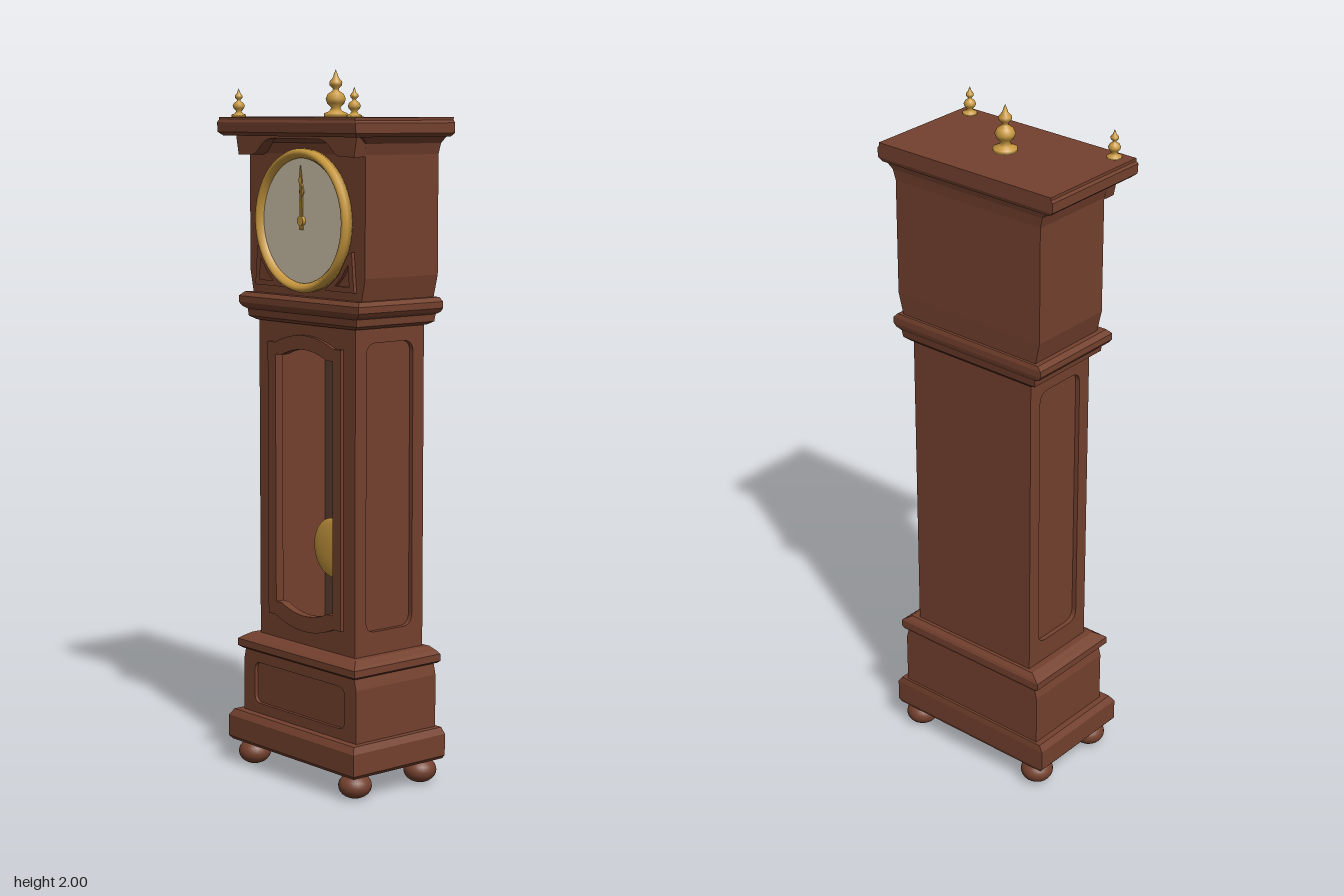
import * as THREE from 'three';

const mat = (name, color) => {
  const m = new THREE.MeshStandardMaterial({ color });
  m.name = name;
  return m;
};

export function createModel() {
  const wood = mat('mahogany', 0x74412e);
  const backing = mat('dark backing', 0x5c4031);
  const gold = mat('brass', 0xc9993f);
  const ivory = mat('ivory dial', 0xcfc3aa);
  const clock = new THREE.Group();
  clock.name = 'longcaseClock';

  const add = (name, geo, material, x = 0, y = 0, z = 0) => {
    const m = new THREE.Mesh(geo, material);
    m.name = name;
    m.position.set(x, y, z);
    clock.add(m);
    return m;
  };
  const box = (name, material, w, h, d, x, y, z) =>
    add(name, new THREE.BoxGeometry(w, h, d), material, x, y, z);

  // Rectangular sections stacked upward: [y, half width, front z, back z]
  const stack = (name, rows) => {
    const pos = [], index = [];
    rows.forEach(([y, w, f, b], r) => {
      pos.push(w, y, f, w, y, b, -w, y, b, -w, y, f);
      if (!r) return;
      for (let i = 0; i < 4; i++) {
        const a = (r - 1) * 4 + i, c = (r - 1) * 4 + (i + 1) % 4;
        index.push(a, c, c + 4, a, c + 4, a + 4);
      }
    });
    const t = (rows.length - 1) * 4;
    index.push(0, 2, 1, 0, 3, 2, t, t + 1, t + 2, t, t + 2, t + 3);
    let g = new THREE.BufferGeometry();
    g.setAttribute('position', new THREE.Float32BufferAttribute(pos, 3));
    g.setIndex(index);
    g = g.toNonIndexed();
    g.computeVertexNormals();
    return add(name, g, wood);
  };

  const polygon = (pts) => new THREE.Shape(pts.map(([x, y]) => new THREE.Vector2(x, y)));
  const roundRect = (x0, y0, x1, y1, r) => {
    const p = new THREE.Path();
    p.moveTo(x0 + r, y0).lineTo(x1 - r, y0).quadraticCurveTo(x1, y0, x1, y0 + r);
    p.lineTo(x1, y1 - r).quadraticCurveTo(x1, y1, x1 - r, y1);
    p.lineTo(x0 + r, y1).quadraticCurveTo(x0, y1, x0, y1 - r);
    p.lineTo(x0, y0 + r).quadraticCurveTo(x0, y0, x0 + r, y0);
    return p;
  };
  // Door outline with shallow arched top and bottom
  const arched = (P, w, y0, y1, rise) => {
    const p = new P(), s = w * 0.8;
    p.moveTo(-w, y0 + rise).lineTo(-s, y0 + rise).quadraticCurveTo(0, y0 - rise, s, y0 + rise);
    p.lineTo(w, y0 + rise).lineTo(w, y1 - rise).lineTo(s, y1 - rise);
    p.quadraticCurveTo(0, y1 + rise, -s, y1 - rise).lineTo(-w, y1 - rise).lineTo(-w, y0 + rise);
    return p;
  };
  const plate = (shape, depth, hole) => {
    if (hole) shape.holes.push(hole);
    return new THREE.ExtrudeGeometry(shape, { depth, bevelEnabled: false, curveSegments: 12 });
  };

  // Bun feet
  for (const x of [-0.225, 0.225]) {
    for (const z of [0.112, -0.13]) {
      add('foot', new THREE.SphereGeometry(0.047, 24, 14), wood, x, 0.036, z).scale.y = 0.77;
    }
  }

  // Plinth and base
  stack('plinth', [[0.07, 0.272, 0.157, -0.172], [0.08, 0.28, 0.165, -0.175],
    [0.142, 0.28, 0.165, -0.175], [0.16, 0.268, 0.153, -0.172]]);
  stack('base', [[0.16, 0.25, 0.12, -0.165], [0.31, 0.25, 0.12, -0.165], [0.345, 0.241, 0.12, -0.165]]);
  add('basePanelFrame', plate(polygon([[-0.25, 0.16], [0.25, 0.16], [0.25, 0.31], [0.241, 0.345],
    [-0.241, 0.345], [-0.25, 0.31]]), 0.01, roundRect(-0.2, 0.19, 0.2, 0.31, 0.025)), wood, 0, 0, 0.12);
  stack('baseMoulding', [[0.343, 0.25, 0.135, -0.172], [0.35, 0.26, 0.145, -0.174],
    [0.37, 0.26, 0.145, -0.174], [0.378, 0.25, 0.135, -0.17], [0.39, 0.23, 0.115, -0.16]]);

  // Hollow trunk
  const trunkFront = polygon([[-0.21, 0.385], [0.21, 0.385], [0.21, 1.31], [-0.21, 1.31]]);
  add('trunkFront', plate(trunkFront, 0.016, arched(THREE.Path, 0.125, 0.475, 1.23, 0.022)), wood, 0, 0, 0.084);
  add('doorFrame', plate(arched(THREE.Shape, 0.16, 0.43, 1.27, 0.028), 0.01,
    arched(THREE.Path, 0.125, 0.475, 1.23, 0.022)), wood, 0, 0, 0.1);
  box('trunkBack', wood, 0.42, 0.925, 0.03, 0, 0.8475, -0.135);
  box('caseBacking', backing, 0.36, 0.92, 0.006, 0, 0.8475, -0.117);
  for (const s of [-1, 1]) {
    box('sidePanel', wood, 0.02, 0.925, 0.22, s * 0.186, 0.8475, -0.015);
    const side = polygon([[-0.1, 0.385], [0.15, 0.385], [0.15, 1.31], [-0.1, 1.31]]);
    const frame = add('sideFrame', plate(side, 0.014, roundRect(-0.06, 0.455, 0.11, 1.26, 0.035)),
      wood, s > 0 ? 0.196 : -0.21);
    frame.rotation.y = Math.PI / 2;
  }

  // Pendulum bob and hanging rods
  add('pendulumBob', new THREE.SphereGeometry(0.086, 36, 18), gold, 0, 0.657, 0).scale.z = 0.15;
  for (const x of [-0.067, -0.051]) {
    add('hangingRod', new THREE.CylinderGeometry(0.007, 0.007, 0.29, 10), backing, x, 1.165, -0.06);
  }

  // Moulding between trunk and hood
  stack('trunkMoulding', [[1.3, 0.215, 0.105, -0.155], [1.31, 0.236, 0.118, -0.165],
    [1.33, 0.238, 0.12, -0.168], [1.338, 0.255, 0.128, -0.172], [1.348, 0.262, 0.133, -0.174],
    [1.366, 0.262, 0.133, -0.174], [1.378, 0.25, 0.122, -0.17]]);

  // Hood and cornice
  stack('hood', [[1.375, 0.235, 0.1, -0.162], [1.44, 0.25, 0.1, -0.164], [1.77, 0.25, 0.1, -0.164],
    [1.8, 0.258, 0.105, -0.166], [1.825, 0.282, 0.14, -0.172]]);
  stack('cornice', [[1.818, 0.288, 0.165, -0.175], [1.828, 0.3, 0.176, -0.178],
    [1.855, 0.3, 0.178, -0.178], [1.862, 0.295, 0.175, -0.178], [1.87, 0.295, 0.175, -0.178]]);
  const apron = new THREE.Shape();
  apron.moveTo(-0.25, 1.765).lineTo(-0.2, 1.765);
  apron.bezierCurveTo(-0.15, 1.765, -0.16, 1.812, -0.09, 1.812).lineTo(0.09, 1.812);
  apron.bezierCurveTo(0.16, 1.812, 0.15, 1.765, 0.2, 1.765).lineTo(0.25, 1.765);
  apron.lineTo(0.262, 1.822).lineTo(-0.262, 1.822);
  add('archedApron', plate(apron, 0.04), wood, 0, 0, 0.1);

  // Dial, bezel and hands
  const dialY = 1.587;
  add('dial', new THREE.CylinderGeometry(0.178, 0.178, 0.012, 64), ivory, 0, dialY, 0.106).rotation.x = Math.PI / 2;
  const rim = [[0.172, 0], [0.197, 0], [0.198, 0.018], [0.192, 0.028], [0.182, 0.028], [0.172, 0.016], [0.172, 0]];
  const bezel = new THREE.LatheGeometry(rim.map(([r, h]) => new THREE.Vector2(r, h)), 64);
  add('bezel', bezel, gold, 0, dialY, 0.1).rotation.x = Math.PI / 2;
  const hand = (name, length, w, z) => add(name, plate(polygon([[-w, -0.025], [w, -0.025], [w * 0.6, length * 0.6],
    [w * 1.7, length * 0.72], [0, length], [-w * 1.7, length * 0.72], [-w * 0.6, length * 0.6]]), 0.003),
  gold, 0, dialY, z);
  hand('hourHand', 0.11, 0.006, 0.114);
  hand('minuteHand', 0.152, 0.004, 0.118);
  add('handHub', new THREE.CylinderGeometry(0.013, 0.013, 0.01, 20), gold, 0, dialY, 0.117).rotation.x = Math.PI / 2;

  // Carved corner brackets under the dial
  for (const s of [-1, 1]) {
    const corner = polygon([[s * 0.215, 1.4], [s * 0.205, 1.51], [s * 0.186, 1.5], [s * 0.15, 1.445], [s * 0.09, 1.4]]);
    const hole = polygon([[s * 0.195, 1.415], [s * 0.19, 1.475], [s * 0.165, 1.442], [s * 0.135, 1.415]]);
    add('cornerBracket', plate(corner, 0.01, hole), wood, 0, 0, 0.1);
  }

  // Turned finials
  const turned = [[0, 0], [0.033, 0], [0.033, 0.01], [0.018, 0.016], [0.012, 0.026], [0.024, 0.038],
    [0.028, 0.05], [0.022, 0.063], [0.009, 0.072], [0.008, 0.078], [0.017, 0.087], [0.018, 0.096],
    [0.008, 0.108], [0.005, 0.118], [0, 0.13]];
  const finialGeo = new THREE.LatheGeometry(turned.map(([r, h]) => new THREE.Vector2(r, h)), 28);
  add('centreFinial', finialGeo, gold, 0, 1.87, -0.007);
  for (const x of [-0.25, 0.25]) {
    add('cornerFinial', finialGeo, gold, x, 1.87, 0.139).scale.setScalar(0.61);
  }
  return clock;
}
